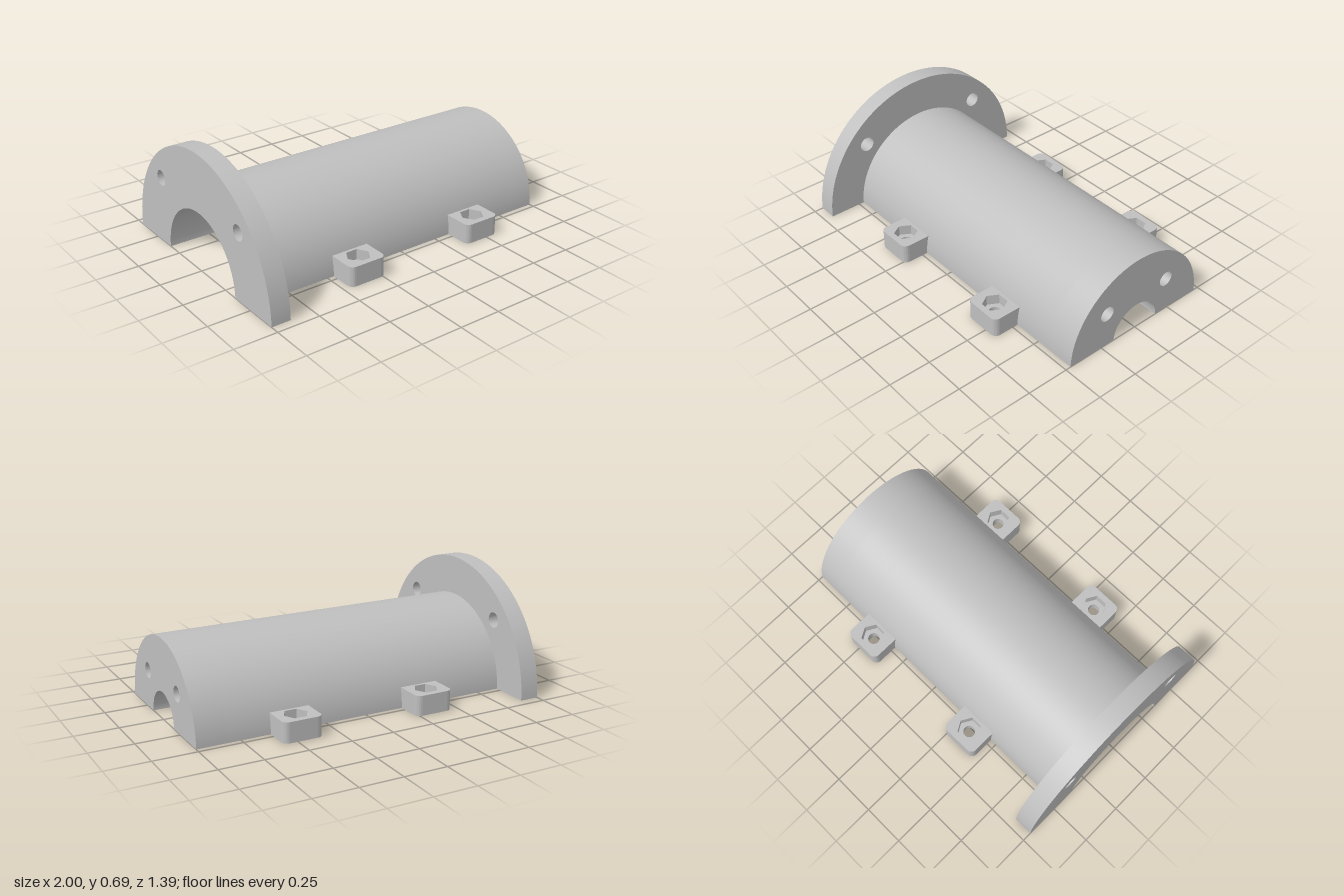
import * as THREE from 'three';
import { mergeGeometries, toCreasedNormals } from 'three/addons/utils/BufferGeometryUtils.js';

const OUTER = 0.468, CAVITY = 0.35, BORE = 0.158, FLANGE = 0.695;
const SEGMENTS = 48;

// Half ring standing on its cut plane, with a mirrored pair of round holes
function halfRing(outer, inner, hole) {
  const s = new THREE.Shape();
  s.absarc(0, 0, outer, 0, Math.PI, false);
  s.absarc(0, 0, inner, Math.PI, 0, true);
  s.closePath();
  if (hole) for (const side of [-1, 1]) s.holes.push(circle(side * hole.x, hole.y, hole.r));
  return s;
}

function circle(x, y, r, Type = THREE.Path) {
  return new Type().absarc(x, y, r, 0, Math.PI * 2, false);
}

function hexagon(x, y, r, Type = THREE.Path) {
  const points = [];
  for (let i = 0; i < 6; i++) {
    const a = (i * Math.PI) / 3;
    points.push(new THREE.Vector2(x + r * Math.cos(a), y + r * Math.sin(a)));
  }
  return new Type(points);
}

// Side walls only of a prism between two depths
function walls(shape, from, to) {
  const g = new THREE.ExtrudeGeometry(shape, { depth: to - from, bevelEnabled: false, curveSegments: SEGMENTS });
  const { start, count } = g.groups[1];
  const p = g.attributes.position.array.slice(start * 3, (start + count) * 3);
  const out = new THREE.BufferGeometry();
  out.setAttribute('position', new THREE.BufferAttribute(p, 3));
  return out.translate(0, 0, from);
}

// Flat face at one depth, facing forward (1) or backward (-1)
function face(shape, depth, direction) {
  const g = new THREE.ShapeGeometry(shape, SEGMENTS).toNonIndexed();
  g.deleteAttribute('uv');
  g.deleteAttribute('normal');
  if (direction < 0) g.rotateY(Math.PI);
  return g.translate(0, 0, depth);
}

function join(parts) {
  const g = mergeGeometries(parts);
  g.computeVertexNormals();
  return toCreasedNormals(g, 0.5);
}

function flangeGeometry() {
  const bolt = { x: 0.405, y: 0.402, r: 0.045 };
  const ring = halfRing(FLANGE, CAVITY, bolt);
  return join([
    walls(ring, -1, -0.887),
    face(ring, -1, -1),
    face(halfRing(FLANGE, OUTER, bolt), -0.887, 1),
  ]).rotateY(Math.PI / 2);
}

function barrelGeometry() {
  return join([walls(halfRing(OUTER, CAVITY), -0.887, 0.83)]).rotateY(Math.PI / 2);
}

// End wall with a shaft bore and two stepped screw holes
function endWallGeometry() {
  const narrow = { x: 0.218, y: 0.217, r: 0.034 };
  const wide = { ...narrow, r: 0.045 };
  const parts = [
    walls(halfRing(OUTER, BORE, narrow), 0.83, 0.915),
    walls(halfRing(OUTER, BORE, wide), 0.915, 1),
    face(halfRing(CAVITY, BORE, narrow), 0.83, -1),
    face(halfRing(OUTER, BORE, wide), 1, 1),
  ];
  for (const side of [-1, 1]) {
    const step = circle(side * wide.x, wide.y, wide.r, THREE.Shape);
    step.holes.push(circle(side * narrow.x, narrow.y, narrow.r));
    parts.push(face(step, 0.915, 1));
  }
  return join(parts).rotateY(Math.PI / 2);
}

// Clamping lug with rounded outer corners, a bolt hole and a hexagonal nut pocket
function lugGeometry() {
  const w = 0.115, near = 0.45, far = 0.625, r = 0.035, hy = 0.53;
  const height = 0.117, floor = 0.055;
  const outline = (hole) => {
    const s = new THREE.Shape();
    s.moveTo(-w, near);
    s.lineTo(w, near);
    s.absarc(w - r, far - r, r, 0, Math.PI / 2, false);
    s.absarc(-w + r, far - r, r, Math.PI / 2, Math.PI, false);
    s.closePath();
    s.holes.push(hole);
    return s;
  };
  const round = outline(circle(0, hy, 0.034));
  const hex = outline(hexagon(0, hy, 0.069));
  const seat = hexagon(0, hy, 0.069, THREE.Shape);
  seat.holes.push(circle(0, hy, 0.034));
  return join([
    walls(round, 0, floor),
    walls(hex, floor, height),
    face(round, 0, -1),
    face(seat, floor, 1),
    face(hex, height, 1),
  ]).rotateX(-Math.PI / 2);
}

export function createModel() {
  const model = new THREE.Group();
  model.name = 'halfHousing';
  const grey = new THREE.MeshStandardMaterial({ color: 0xbfbfbf });
  grey.name = 'grey';

  const add = (name, geometry) => {
    const mesh = new THREE.Mesh(geometry, grey);
    mesh.name = name;
    model.add(mesh);
    return mesh;
  };

  add('flange', flangeGeometry());
  add('barrel', barrelGeometry());
  add('endWall', endWallGeometry());

  // Two lugs on each side
  const lug = lugGeometry();
  for (const x of [-0.345, 0.465]) {
    add('backLug', lug).position.x = x;
    const front = add('frontLug', lug);
    front.position.x = x;
    front.rotation.y = Math.PI;
  }
  return model;
}
